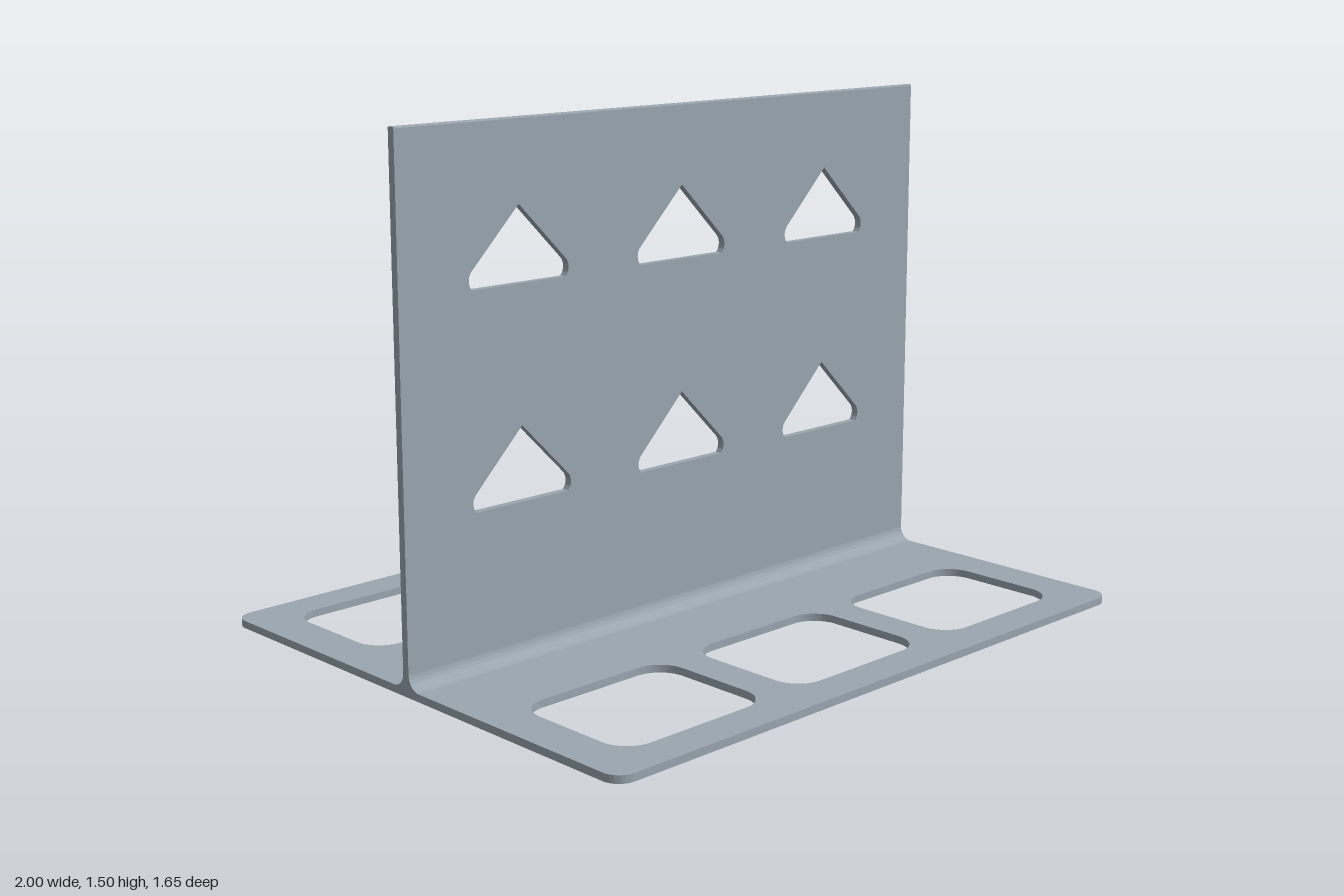
import * as THREE from 'three';
import { toCreasedNormals } from 'three/addons/utils/BufferGeometryUtils.js';

const BASE_T = 0.022, HALF_T = 0.0115, FILLET = 0.042, CAP = 0.004;
const HALF_W = 1, HALF_D = 0.825, TOP = 1.5;

// Rounded rectangle centred on (cx, cy)
function roundedRect(path, cx, cy, hw, hh, r) {
  path.absarc(cx + hw - r, cy + hh - r, r, 0, Math.PI / 2);
  path.absarc(cx - hw + r, cy + hh - r, r, Math.PI / 2, Math.PI);
  path.absarc(cx - hw + r, cy - hh + r, r, Math.PI, Math.PI * 1.5);
  path.absarc(cx + hw - r, cy - hh + r, r, Math.PI * 1.5, Math.PI * 2);
  path.closePath();
  return path;
}

// Diamond with sharp top and bottom, rounded side corners
function diamond(cx, cy, h, r) {
  const path = new THREE.Path();
  const c = h - r * Math.SQRT2;
  path.moveTo(cx, cy - h);
  path.absarc(cx + c, cy, r, -Math.PI / 4, Math.PI / 4);
  path.lineTo(cx, cy + h);
  path.absarc(cx - c, cy, r, Math.PI * 0.75, Math.PI * 1.25);
  path.closePath();
  return path;
}

function extrude(shape, depth) {
  const geo = new THREE.ExtrudeGeometry(shape, { depth, bevelEnabled: false, curveSegments: 10 });
  return toCreasedNormals(geo, 0.5);
}

export function createModel() {
  const group = new THREE.Group();
  const steel = new THREE.MeshStandardMaterial({ color: 0x9aa6b0 });
  steel.name = 'greySteel';
  const add = (name, geo) => {
    const mesh = new THREE.Mesh(geo, steel);
    mesh.name = name;
    group.add(mesh);
  };

  // Base plate with six rounded windows
  const base = roundedRect(new THREE.Shape(), 0, 0, HALF_W, HALF_D, 0.055);
  for (const x of [-0.62, 0, 0.62])
    for (const z of [-0.51, 0.51])
      base.holes.push(roundedRect(new THREE.Path(), x, z, 0.254, 0.204, 0.085));
  add('basePlate', extrude(base, BASE_T).rotateX(-Math.PI / 2));

  // Upright plate with six diamond openings
  const bottom = BASE_T + FILLET, top = TOP - CAP;
  const wall = new THREE.Shape();
  wall.moveTo(-HALF_W, bottom);
  wall.lineTo(HALF_W, bottom);
  wall.lineTo(HALF_W, top);
  wall.lineTo(-HALF_W, top);
  wall.closePath();
  for (const x of [-0.6, 0, 0.6])
    for (const y of [0.484, 1.084]) wall.holes.push(diamond(x, y, 0.187, 0.036));
  add('uprightPlate', extrude(wall, HALF_T * 2).translate(0, 0, -HALF_T));

  // Strips running the full width: flared foot and softened top edge
  const strip = (shape) => extrude(shape, HALF_W * 2).rotateY(Math.PI / 2).translate(-HALF_W, 0, 0);
  const foot = new THREE.Shape();
  foot.moveTo(-HALF_T - FILLET, BASE_T);
  foot.lineTo(HALF_T + FILLET, BASE_T);
  foot.absarc(HALF_T + FILLET, bottom, FILLET, Math.PI * 1.5, Math.PI, true);
  foot.lineTo(-HALF_T, bottom);
  foot.absarc(-HALF_T - FILLET, bottom, FILLET, 0, -Math.PI / 2, true);
  add('filletFoot', strip(foot));

  const cap = new THREE.Shape();
  cap.moveTo(-HALF_T, top);
  cap.lineTo(HALF_T, top);
  cap.absarc(HALF_T - CAP, top, CAP, 0, Math.PI / 2);
  cap.absarc(-HALF_T + CAP, top, CAP, Math.PI / 2, Math.PI);
  add('topEdge', strip(cap));

  return group;
}
